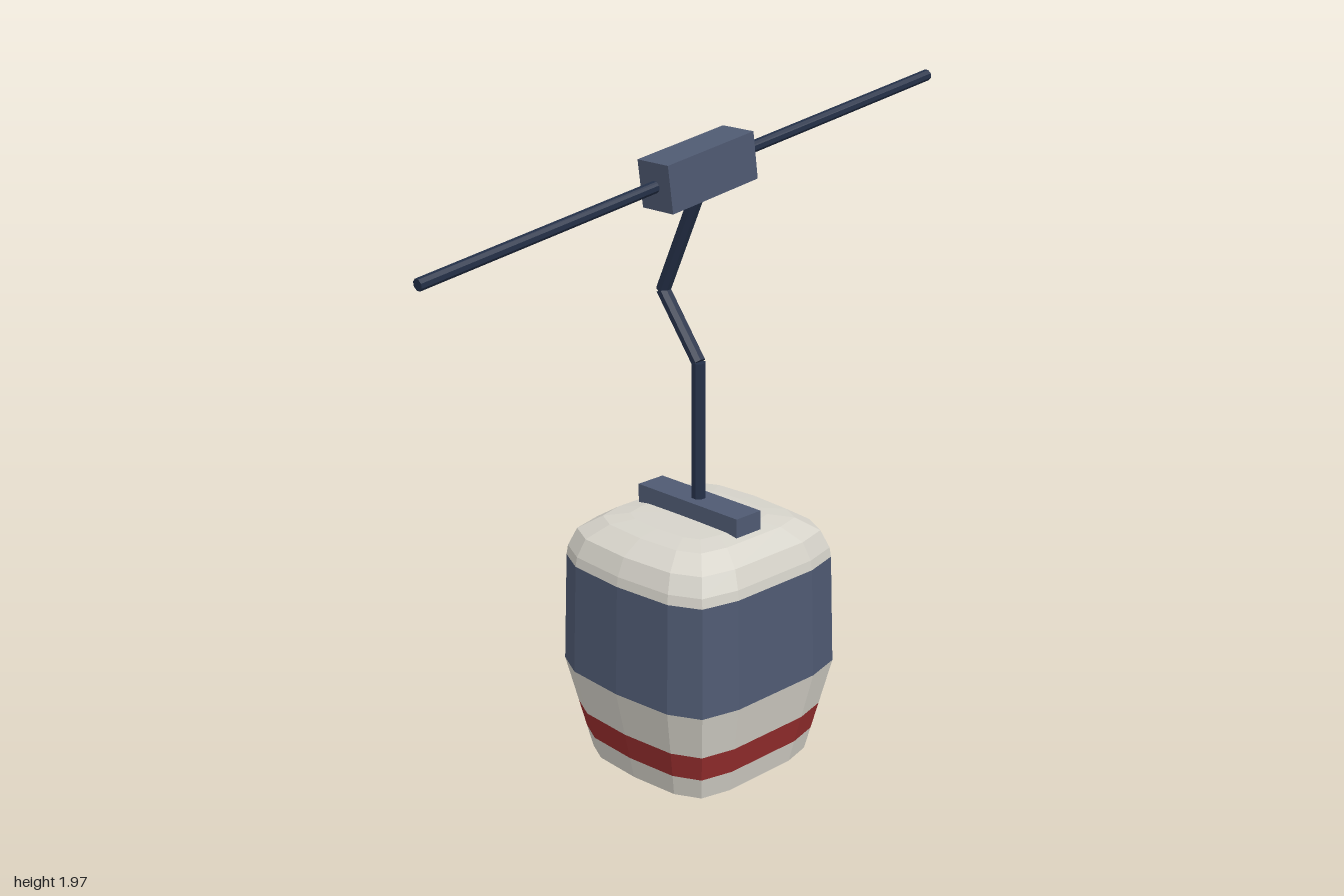
import * as THREE from 'three';

const mat = (name, color) => {
  const m = new THREE.MeshStandardMaterial({ color });
  m.name = name;
  return m;
};

// Rounded-square plan of the cabin at its widest, mirrored from one quadrant
const quadrant = [[0.343, 0], [0.328, 0.2], [0.28, 0.295], [0.16, 0.325]];
const plan = [
  ...quadrant,
  ...quadrant.slice(1).reverse().map(([x, z]) => [-x, z]),
  ...quadrant.map(([x, z]) => [-x, -z]),
  ...quadrant.slice(1).reverse().map(([x, z]) => [x, -z]),
];

// Faceted band of the cabin through rings of [height, scale]
function bandGeometry(rings) {
  const pos = [];
  const n = plan.length;
  const point = ([y, s], i) => [plan[i % n][0] * s, y, plan[i % n][1] * s];
  for (let r = 0; r < rings.length - 1; r++) {
    const lo = rings[r], hi = rings[r + 1];
    for (let i = 0; i < n; i++) {
      const a = point(lo, i), b = point(lo, i + 1), c = point(hi, i), d = point(hi, i + 1);
      if (lo[1] > 0) pos.push(...a, ...c, ...b);
      if (hi[1] > 0) pos.push(...b, ...c, ...d);
    }
  }
  const g = new THREE.BufferGeometry();
  g.setAttribute('position', new THREE.Float32BufferAttribute(pos, 3));
  g.computeVertexNormals();
  return g;
}

// Faceted rod between two points
function rodGeometry(from, to, radius) {
  const a = new THREE.Vector3(...from), b = new THREE.Vector3(...to);
  const dir = b.clone().sub(a);
  const g = new THREE.CylinderGeometry(radius, radius, dir.length(), 8).toNonIndexed();
  g.rotateY(Math.PI / 8);
  g.applyQuaternion(new THREE.Quaternion().setFromUnitVectors(
    new THREE.Vector3(0, 1, 0), dir.clone().normalize()));
  g.translate(...a.add(b).multiplyScalar(0.5).toArray());
  g.computeVertexNormals();
  return g;
}

export function createModel() {
  const shell = mat('shell white', 0xd6d3ca);
  const slate = mat('slate blue', 0x4f5a72);
  const red = mat('stripe red', 0x982e2e);
  const navy = mat('steel navy', 0x243048);

  const model = new THREE.Group();
  model.name = 'cableCar';
  const add = (name, geometry, material, parent = model) => {
    const m = new THREE.Mesh(geometry, material);
    m.name = name;
    parent.add(m);
    return m;
  };

  // Cabin, stacked from bands that share their border rings
  const cabin = new THREE.Group();
  cabin.name = 'cabin';
  model.add(cabin);
  const flare = y => [y, 0.8 + 0.2 * y / 0.3];
  add('cabinBase', bandGeometry([[0, 0], flare(0), flare(0.07)]), shell, cabin);
  add('stripe', bandGeometry([flare(0.07), flare(0.155)]), red, cabin);
  add('lowerPanel', bandGeometry([flare(0.155), flare(0.3)]), shell, cabin);
  add('windowBand', bandGeometry([[0.3, 1], [0.64, 0.972]]), slate, cabin);
  add('roof', bandGeometry([[0.64, 0.972], [0.67, 0.96], [0.725, 0.89],
    [0.765, 0.7], [0.775, 0.5], [0.777, 0]]), shell, cabin);

  // Roof beam
  add('roofBeam', new THREE.BoxGeometry(0.1, 0.06, 0.41).translate(0, 0.797, 0), slate);

  // Cranked hanger arm
  const bends = [[0, 0.8, 0], [0, 1.245, 0], [0, 1.435, -0.145], [0, 1.75, 0]];
  for (let i = 0; i < 3; i++) add('hangerArm' + (i + 1), rodGeometry(bends[i], bends[i + 1], 0.022), navy);

  // Sloping cable and the grip that clamps it
  const slope = 0.1405;
  const grip = add('grip', new THREE.BoxGeometry(0.34, 0.14, 0.12), slate);
  grip.position.y = 1.812;
  grip.rotation.z = Math.atan(slope);
  add('cable', rodGeometry([-0.998, 1.812 - slope, 0], [0.998, 1.812 + slope, 0], 0.0175), navy);

  return model;
}
